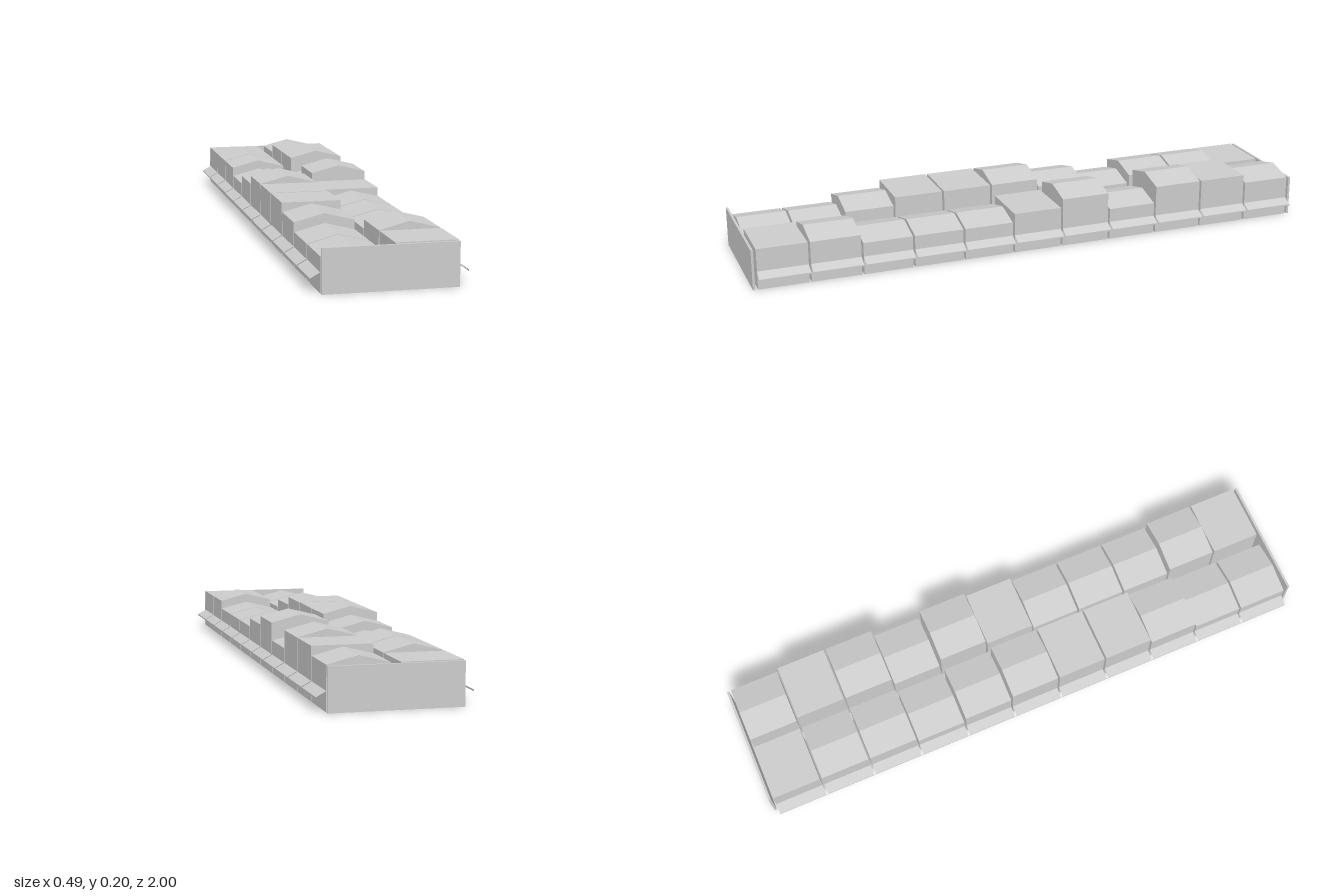
import * as THREE from 'three';

const stone = new THREE.MeshStandardMaterial({ color: 0xcccccc, side: THREE.DoubleSide });
stone.name = 'pale grey';

const PITCH = 0.1795, DEPTH = 0.172, FRONT = 0.983;
const HALF = 0.099, CENTRE = 0.114, RISE = 0.025;
const LOW = 0.112, MID = 0.142, HIGH = 0.172;

// Houses listed from front to back: [eave height, has a gable]
const leftRow = [
  [MID, false], [MID, true], [LOW, true], [LOW, true], [LOW, true], [MID, false],
  [HIGH, true], [LOW, true], [HIGH, true], [HIGH, false], [MID, true],
];
const rightRow = [
  [LOW, true], [LOW, true], [MID, true], [HIGH, false], [HIGH, false], [HIGH, true],
  [MID, true], [LOW, true], [MID, true], [MID, true], [MID, false],
];

function add(parent, name, geometry, x = 0, y = 0, z = 0) {
  const mesh = new THREE.Mesh(geometry, stone);
  mesh.name = name;
  mesh.position.set(x, y, z);
  parent.add(mesh);
  return mesh;
}

// Hollow house shell, open underneath: a cross-section run along z with two end walls
function shellGeometry(eave, gabled) {
  const section = [[HALF, 0], [HALF, eave]];
  if (gabled) section.push([0, eave + RISE]);
  section.push([-HALF, eave], [-HALF, 0]);
  const d = DEPTH / 2, pos = [];
  for (let i = 0; i < section.length - 1; i++) {
    const [ax, ay] = section[i], [bx, by] = section[i + 1];
    pos.push(ax, ay, d, ax, ay, -d, bx, by, -d, ax, ay, d, bx, by, -d, bx, by, d);
  }
  for (let i = 1; i < section.length - 1; i++) {
    const [ax, ay] = section[0], [bx, by] = section[i], [cx, cy] = section[i + 1];
    pos.push(ax, ay, d, bx, by, d, cx, cy, d, ax, ay, -d, cx, cy, -d, bx, by, -d);
  }
  const g = new THREE.BufferGeometry();
  g.setAttribute('position', new THREE.Float32BufferAttribute(pos, 3));
  g.computeVertexNormals();
  return g;
}

// Sloping awning sheet falling away from the wall
function awningGeometry() {
  const run = 0.033, drop = 0.018;
  const g = new THREE.PlaneGeometry(Math.hypot(run, drop), DEPTH);
  g.rotateX(-Math.PI / 2);
  g.rotateZ(-Math.atan2(drop, run));
  return g;
}

function buildRow(name, houses, side) {
  const row = new THREE.Group();
  row.name = name;
  houses.forEach(([eave, gabled], i) => {
    const z = FRONT - DEPTH / 2 - i * PITCH;
    add(row, 'house', shellGeometry(eave, gabled), side * CENTRE, 0, z);
    const awning = add(row, 'awning', awningGeometry(), side * 0.2295, 0.055, z);
    if (side < 0) awning.rotation.y = Math.PI;
  });
  // Thin lip along the awning edge
  const lip = add(row, 'awningLip', new THREE.PlaneGeometry(1.97, 0.005), side * 0.246, 0.0455, 0);
  lip.rotation.y = side * Math.PI / 2;
  return row;
}

export function createModel() {
  const model = new THREE.Group();
  model.name = 'terraceBlock';
  model.add(buildRow('leftRow', leftRow, 1), buildRow('rightRow', rightRow, -1));

  // End walls and the strip between the rows
  for (const s of [1, -1]) {
    add(model, s > 0 ? 'frontEndWall' : 'backEndWall',
      new THREE.BoxGeometry(0.426, 0.14, 0.008), 0, 0.07, s * 0.996);
  }
  add(model, 'centreStrip', new THREE.BoxGeometry(0.03, 0.004, 1.984), 0, 0.002, 0);
  return model;
}
